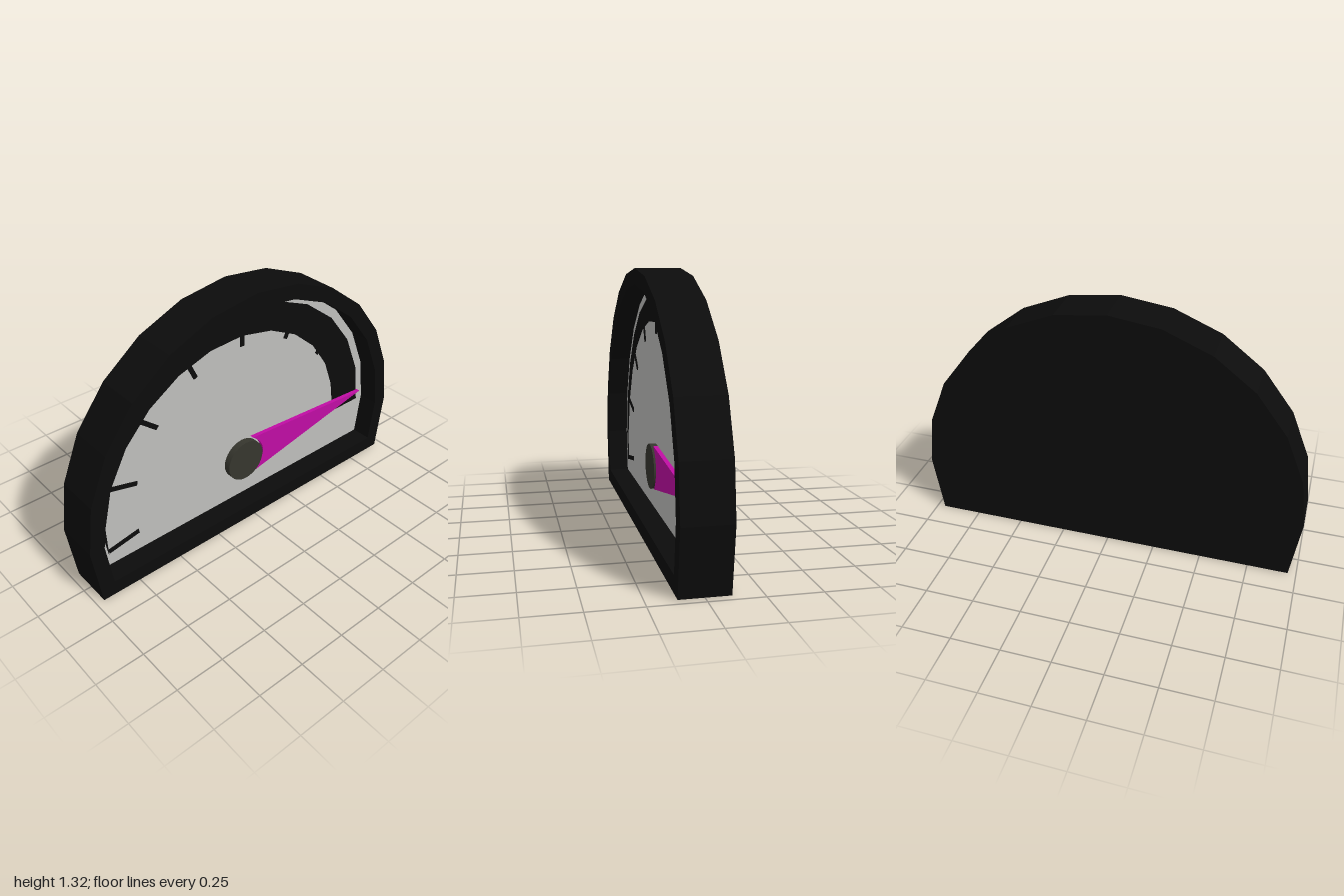
import * as THREE from 'three';

const CY = 0.316; // height of the dial centre
const rad = THREE.MathUtils.degToRad;
const at = (r, deg) => new THREE.Vector2(r * Math.cos(rad(deg)), CY + r * Math.sin(rad(deg)));

const paint = (name, color) => {
  const m = new THREE.MeshStandardMaterial({ color });
  m.name = name;
  return m;
};

// Half-round outline: 15 degree facets above a flat base
function domePoints(r, baseX, baseY) {
  const pts = [new THREE.Vector2(-baseX, baseY), new THREE.Vector2(baseX, baseY)];
  for (let a = 0; a <= 180; a += 15) pts.push(at(r, a));
  return pts;
}

export function createModel() {
  const group = new THREE.Group();
  const black = paint('black', 0x0c0c0c);
  const grey = paint('dial grey', 0xbebebc);
  const magenta = paint('needle magenta', 0xc00da4);
  const olive = paint('hub dark olive', 0x36362e);

  const add = (name, geometry, material) => {
    const mesh = new THREE.Mesh(geometry, material);
    mesh.name = name;
    group.add(mesh);
    return mesh;
  };
  const slab = (name, shape, z0, z1, material) => {
    const g = new THREE.ExtrudeGeometry(shape, { depth: z1 - z0, bevelEnabled: false, curveSegments: 16 });
    return add(name, g.translate(0, 0, z0), material);
  };

  // Housing: solid back and raised rim around the recessed dial
  const outer = domePoints(1, 0.958, 0);
  const inner = domePoints(0.922, 0.89, 0.08);
  slab('housingBack', new THREE.Shape(outer), -0.115, 0, black);
  const rim = new THREE.Shape(outer);
  rim.holes.push(new THREE.Path(inner));
  slab('housingRim', rim, 0, 0.115, black);

  // Dial face
  slab('dialFace', new THREE.Shape(inner), 0, 0.006, grey);

  // Scale band, tapering from right to left
  const outside = [], inside = [];
  for (let a = 0; a <= 180; a += 15) {
    const t = a / 90;
    outside.push(at(0.873, a));
    inside.unshift(at(0.675 + 0.032 * t + 0.028 * t * t, a));
  }
  const band = new THREE.Shape([...outside, at(0.862, 191), ...inside]);
  slab('scaleBand', band, 0.006, 0.011, black);

  // Tick marks every 25 degrees
  for (let a = 15; a <= 190; a += 25) {
    const tick = add('tickMark', new THREE.BoxGeometry(0.18, 0.024, 0.005), black);
    const p = at(0.767, a);
    tick.position.set(p.x, p.y, 0.0085);
    tick.rotation.z = rad(a);
  }

  // Needle with a concave root around the hub
  const needle = new THREE.Shape();
  needle.moveTo(0.075, CY - 0.102);
  needle.lineTo(0.87, 0.382);
  needle.lineTo(0.055, CY + 0.118);
  needle.quadraticCurveTo(0.185, CY + 0.02, 0.075, CY - 0.102);
  slab('needle', needle, 0.012, 0.034, magenta);

  // Hub
  const hub = add('hub', new THREE.CylinderGeometry(0.115, 0.115, 0.036, 32), olive);
  hub.rotation.x = Math.PI / 2;
  hub.position.set(0, CY, 0.024);

  return group;
}
